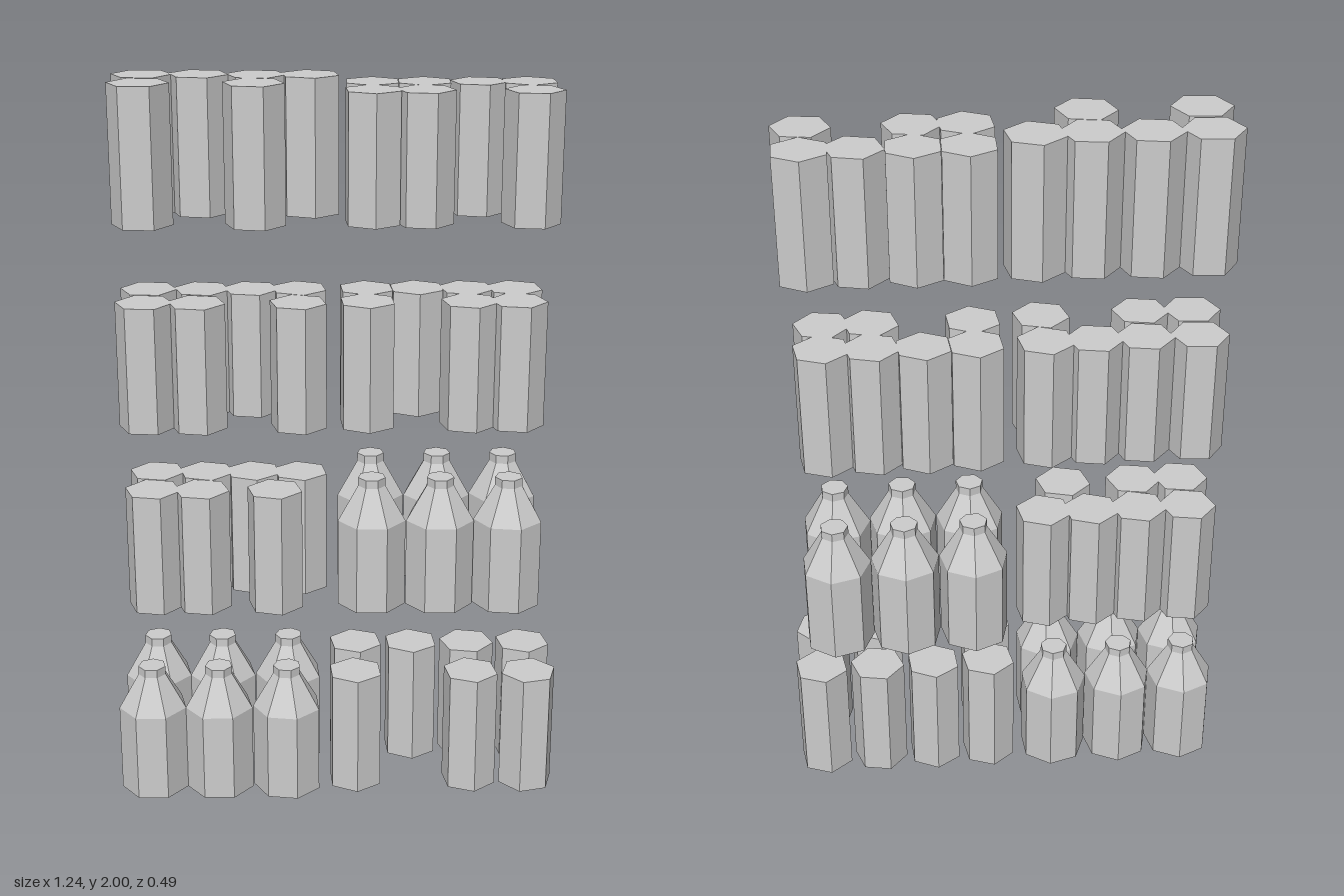
import * as THREE from 'three';

export function createModel() {
  const model = new THREE.Group();
  model.name = 'stockedShelfGoods';
  const grey = new THREE.MeshStandardMaterial({ color: 0xcccccc });
  grey.name = 'light grey';

  // Low-poly shapes with one flat normal per facet
  const flat = (geometry) => {
    const g = geometry.toNonIndexed();
    g.computeVertexNormals();
    return g;
  };
  const can = flat(new THREE.CylinderGeometry(0.079, 0.079, 0.35, 6).translate(0, 0.175, 0));
  const tallCan = flat(new THREE.CylinderGeometry(0.082, 0.082, 0.37, 6).translate(0, 0.185, 0));
  const profile = [[0, 0], [0.097, 0], [0.097, 0.254], [0.039, 0.354], [0.039, 0.378], [0, 0.378]];
  const bottle = flat(new THREE.LatheGeometry(profile.map(([r, y]) => new THREE.Vector2(r, y)), 7));

  // Each item is [x, z, turn in degrees]
  const addGroup = (name, part, geometry, y, items) => {
    const group = new THREE.Group();
    group.name = name;
    items.forEach(([x, z, turn]) => {
      const mesh = new THREE.Mesh(geometry, grey);
      mesh.name = part;
      mesh.position.set(x, y, z);
      mesh.rotation.y = THREE.MathUtils.degToRad(turn);
      group.add(mesh);
    });
    model.add(group);
  };

  // Two rows of three bottles
  const bottleRows = (xs, zs, turn) =>
    zs.flatMap((z) => xs.map((x, i) => [x, z, turn + (i === 2 ? -8 : 0)]));

  // Bottom tier
  addGroup('bottomBottles', 'bottle', bottle, 0,
    bottleRows([-0.527, -0.339, -0.146], [0.155, -0.045], 180 / 7));
  addGroup('bottomCans', 'can', can, 0, [
    [0.048, 0.133, 5], [0.376, 0.133, 10], [0.54, 0.135, 45],
    [0.05, -0.055, 10], [0.212, -0.055, 5], [0.376, -0.055, 20], [0.54, -0.055, 10],
  ]);

  // Second tier
  addGroup('secondCans', 'can', can, 0.53, [
    [-0.515, 0.075, 20], [-0.38, 0.075, 20], [-0.177, 0.075, 15],
    [-0.515, -0.068, 20], [-0.376, -0.068, 15], [-0.242, -0.07, 10], [-0.108, -0.068, 10],
  ]);
  addGroup('secondBottles', 'bottle', bottle, 0.53,
    bottleRows([0.093, 0.284, 0.475], [0.05, -0.148], 180 / 7));

  // Third tier
  addGroup('thirdCans', 'can', can, 1.068, [
    [-0.52, 0.083, 25], [-0.38, 0.085, 20], [-0.108, 0.08, 15],
    [-0.52, -0.06, 25], [-0.374, -0.06, 20], [-0.24, -0.062, 20], [-0.108, -0.066, 10],
    [0.078, 0.067, 5], [0.353, 0.067, 15], [0.483, 0.065, 20],
    [0.077, -0.068, 5], [0.215, -0.072, 5], [0.352, -0.07, 15], [0.484, -0.07, 10],
  ]);

  // Top tier
  addGroup('topTallCans', 'tallCan', tallCan, 1.63, [
    [-0.515, 0.084, 27], [-0.218, 0.084, 20],
    [-0.52, -0.067, 27], [-0.37, -0.069, 20], [-0.217, -0.062, 22], [-0.075, -0.066, 10],
  ]);
  addGroup('topCans', 'can', can, 1.63, [
    [0.09, 0.065, 5], [0.226, 0.065, 20], [0.507, 0.069, 22],
    [0.09, -0.077, 0], [0.228, -0.077, 0], [0.373, -0.076, 17], [0.507, -0.079, 2],
  ]);

  return model;
}
